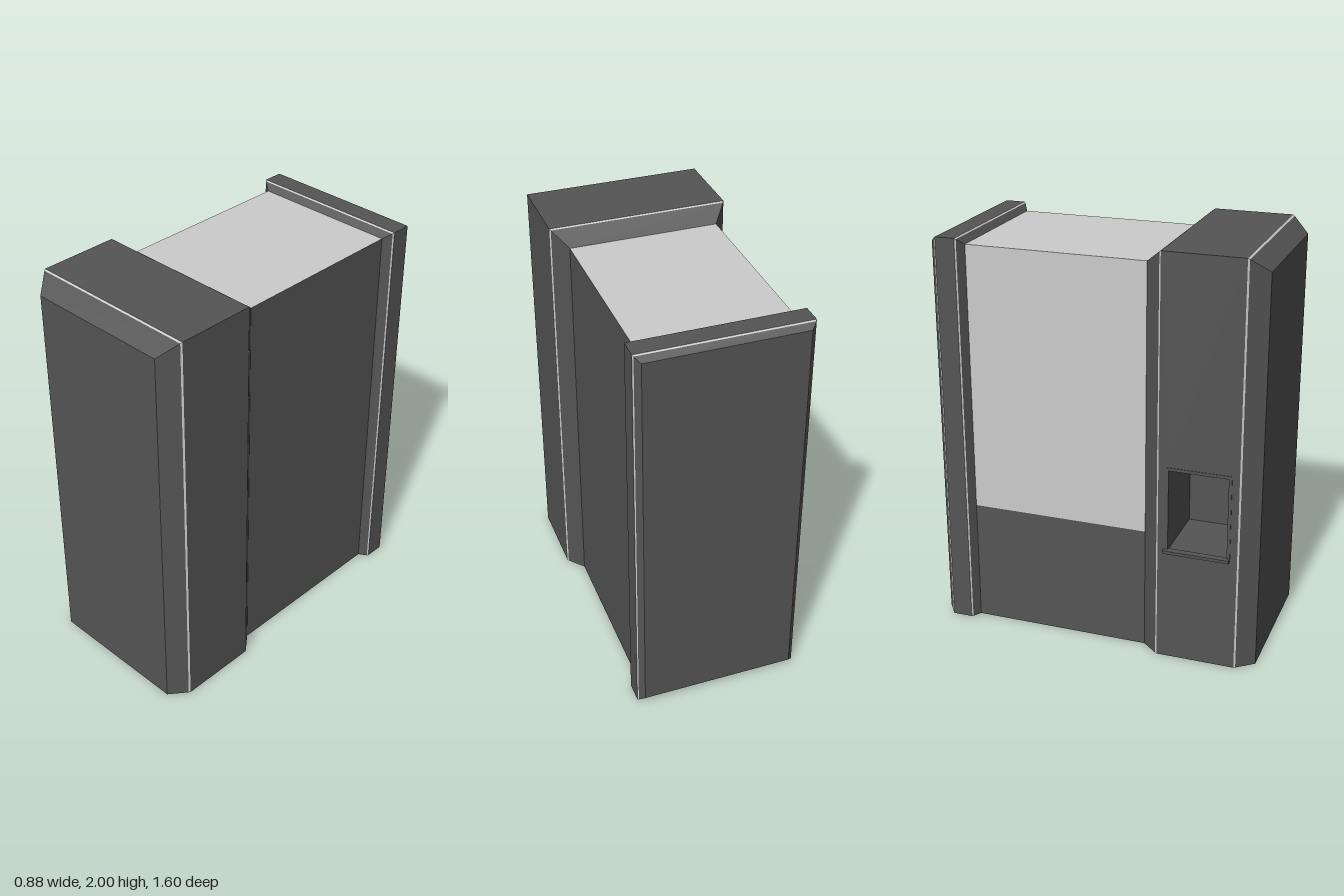
import * as THREE from 'three';

const mat = (color) => new THREE.MeshStandardMaterial({ color, flatShading: true, side: THREE.DoubleSide });
const dark = mat(0x555555);
const light = mat(0xdbd9da);

const CX = 0.01; // the cabinet sits slightly off centre because of the tray on one side

// Rectangular cross-section at depth z: half width, bottom and top
const ring = (z, half, y0, y1) => [
  [CX - half, y0, z], [CX + half, y0, z], [CX + half, y1, z], [CX - half, y1, z],
];

// Mesh from a list of four-cornered faces
function quadMesh(name, quads, material) {
  const pos = [];
  for (const [a, b, c, d] of quads) pos.push(...a, ...b, ...c, ...a, ...c, ...d);
  const geo = new THREE.BufferGeometry();
  geo.setAttribute('position', new THREE.Float32BufferAttribute(pos, 3));
  geo.computeVertexNormals();
  const mesh = new THREE.Mesh(geo, material);
  mesh.name = name;
  return mesh;
}

// Faces joining two successive cross-sections, optionally leaving one out
const band = (r, s, skip = -1) => [0, 1, 2, 3].filter((k) => k !== skip)
  .map((k) => [r[k], r[(k + 1) % 4], s[(k + 1) % 4], s[k]]);

// Bevelled block from cross-sections running back to front; the listed bands are light trim
function block(name, rings, trim, open = {}) {
  const group = new THREE.Group();
  group.name = name;
  const shell = [[...rings[0]].reverse(), rings[rings.length - 1]];
  const strips = [];
  for (let i = 0; i < rings.length - 1; i++) {
    (trim.includes(i) ? strips : shell).push(...band(rings[i], rings[i + 1], open[i]));
  }
  group.add(quadMesh(name + 'Shell', shell, dark), quadMesh(name + 'Trim', strips, light));
  return group;
}

function box(name, x0, x1, y0, y1, z0, z1) {
  const mesh = new THREE.Mesh(new THREE.BoxGeometry(x1 - x0, y1 - y0, z1 - z0), dark);
  mesh.position.set((x0 + x1) / 2, (y0 + y1) / 2, (z0 + z1) / 2);
  mesh.name = name;
  return mesh;
}

export function createModel() {
  const model = new THREE.Group();
  model.name = 'cabinet';

  // Tall front housing, its right wall left open for the dispenser
  const housing = block('frontHousing', [
    ring(0.24, 0.36, 0, 1.93), ring(0.317, 0.425, 0, 1.995), ring(0.325, 0.43, 0, 2),
    ring(0.71, 0.43, 0, 2), ring(0.718, 0.425, 0, 1.995), ring(0.8, 0.36, 0, 1.93),
  ], [1, 3], { 2: 3 });
  model.add(housing);

  // Right wall with a rectangular opening
  const wx = CX - 0.43;
  const [z0, z1, y0, y1] = [0.375, 0.66, 0.57, 0.975];
  const rect = (C, a, b, c, d) => new C([[a, c], [b, c], [b, d], [a, d]].map((p) => new THREE.Vector2(...p)));
  const wallShape = rect(THREE.Shape, 0.325, 0.71, 0, 2);
  wallShape.holes.push(rect(THREE.Path, z0, z1, y0, y1));
  const wall = new THREE.Mesh(new THREE.ShapeGeometry(wallShape).rotateY(-Math.PI / 2), dark);
  wall.position.x = wx;
  wall.name = 'rightWall';
  housing.add(wall);

  // Recess behind the opening
  const mouth = (x) => [[x, y0, z0], [x, y1, z0], [x, y1, z1], [x, y0, z1]];
  const inner = mouth(wx + 0.35);
  housing.add(quadMesh('dispenserRecess', [...band(mouth(wx), inner), [...inner].reverse()], dark));

  // Thin frame around the opening and a tray that sticks out below it
  const f = 0.015;
  housing.add(
    box('frameTop', wx - 0.003, wx + 0.01, y1, y1 + f, z0 - f, z1 + f),
    box('frameBack', wx - 0.003, wx + 0.01, y0, y1, z0 - f, z0),
    box('frameFront', wx - 0.003, wx + 0.01, y0, y1, z1, z1 + f),
    box('tray', -0.445, wx + 0.01, y0 - 0.01, y0 + 0.005, z0 - 0.02, z1 + f),
  );

  // Thin back plate
  model.add(block('backPlate', [
    ring(-0.8, 0.375, 0.03, 1.935), ring(-0.776, 0.4, 0.006, 1.96), ring(-0.769, 0.405, 0, 1.965),
    ring(-0.672, 0.405, 0, 1.965), ring(-0.665, 0.4, 0, 1.96), ring(-0.64, 0.36, 0, 1.93),
  ], [1, 3]));

  // Middle section, open underneath: light top and upper right panel, dark walls elsewhere
  const [b, t] = [ring(-0.64, 0.36, 0, 1.93), ring(0.24, 0.36, 0, 1.93)];
  const [bm, tm] = [b[0], t[0]].map(([x, , z]) => [x, 0.61, z]);
  model.add(
    quadMesh('leftWall', [[b[1], b[2], t[2], t[1]]], dark),
    quadMesh('topPanel', [[b[2], b[3], t[3], t[2]]], light),
    quadMesh('upperSidePanel', [[b[3], bm, tm, t[3]]], light),
    quadMesh('lowerSideWall', [[bm, b[0], t[0], tm]], dark),
  );
  return model;
}
